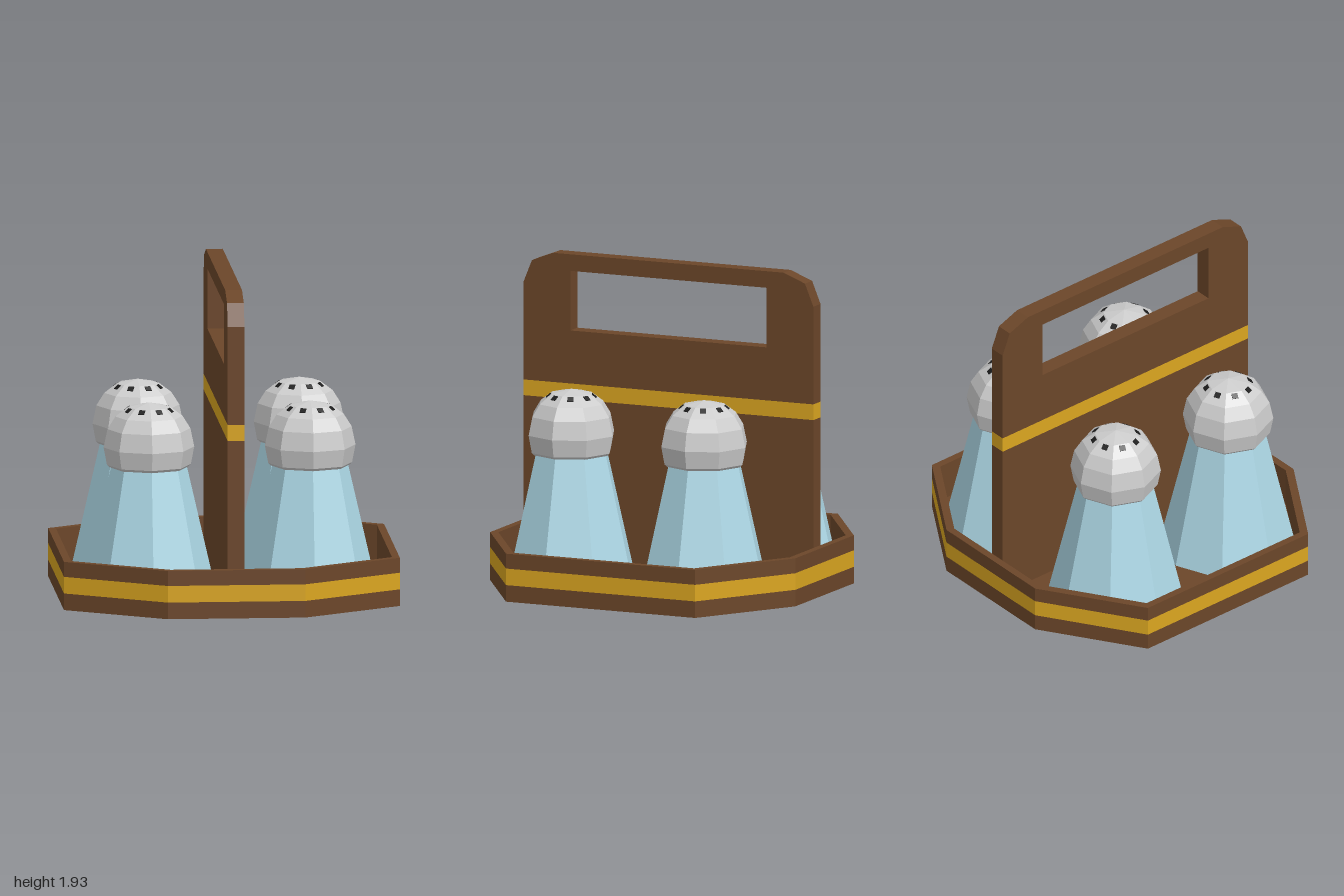
import * as THREE from 'three';

const material = (color) => new THREE.MeshStandardMaterial({ color, flatShading: true });
const v2 = (points) => points.map(([a, b]) => new THREE.Vector2(a, b));

export function createModel() {
  const group = new THREE.Group();
  const wood = material(0x6b4629);
  const gold = material(0xdaa520);
  const glass = material(0xadd8e6);
  const metal = new THREE.MeshStandardMaterial({ color: 0xcccccc, flatShading: true });
  const dark = material(0x1c1c1c);

  const add = (parent, name, geometry, mat) => {
    const mesh = new THREE.Mesh(geometry, mat);
    mesh.name = name;
    parent.add(mesh);
    return mesh;
  };

  // Eight-sided tray: outline scaled for the inner wall faces
  const corners = [[1, -0.62], [1, 0.62], [0.41, 1], [-0.41, 1],
    [-1, 0.62], [-1, -0.62], [-0.41, -1], [0.41, -1]];
  const outline = (s) => v2(corners.map(([x, z]) => [x * s, z * s]));
  const trayLayer = (name, y0, y1, outer, inner, mat) => {
    const shape = new THREE.Shape(outline(outer));
    if (inner) shape.holes.push(new THREE.Path(outline(inner)));
    const geometry = new THREE.ExtrudeGeometry(shape, { depth: y1 - y0, bevelEnabled: false });
    geometry.rotateX(-Math.PI / 2).translate(0, y0, 0);
    add(group, name, geometry, mat);
  };
  const floorY = 0.05;
  trayLayer('trayFloor', 0, floorY, 1, 0, wood);
  trayLayer('trayLowerWall', floorY, 0.1, 1, 0.955, wood);
  trayLayer('trayStripeLining', 0.1, 0.2, 0.98, 0.955, wood);
  trayLayer('trayStripe', 0.1, 0.2, 1, 0.98, gold);
  trayLayer('trayUpperWall', 0.2, 0.29, 1, 0.955, wood);

  // Central panel with a stripe and a grip opening
  const panel = (name, points, mat, opening) => {
    const shape = new THREE.Shape(v2(points));
    if (opening) shape.holes.push(new THREE.Path(v2(opening)));
    const geometry = new THREE.ExtrudeGeometry(shape, { depth: 0.1, bevelEnabled: false });
    geometry.rotateY(Math.PI / 2).translate(-0.05, 0, 0);
    add(group, name, geometry, mat);
  };
  const rect = (w, y0, y1) => [[-w, y0], [w, y0], [w, y1], [-w, y1]];
  panel('handleLowerPanel', rect(0.95, floorY, 1.06), wood);
  panel('handleStripe', rect(0.95, 1.06, 1.155), gold);
  panel('handleGrip', [[-0.95, 1.155], [0.95, 1.155], [0.95, 1.745], [0.895, 1.88], [0.755, 1.935],
    [-0.755, 1.935], [-0.895, 1.88], [-0.95, 1.745]], wood, rect(0.643, 1.475, 1.835));

  // Shakers: tapered body, domed cap and a ring of holes
  const bodyGeometry = new THREE.LatheGeometry(
    v2([[0, floorY], [0.405, floorY], [0.225, 0.83], [0, 0.83]]), 8);
  const capGeometry = new THREE.LatheGeometry(v2([[0, 0.825], [0.235, 0.825], [0.25, 0.84],
    [0.27, 0.945], [0.247, 1.055], [0.2, 1.13], [0.125, 1.187], [0, 1.213]]), 8);
  const holeGeometry = new THREE.BoxGeometry(0.036, 0.008, 0.034);
  holeGeometry.rotateX(Math.atan2(0.057, 0.069)).translate(0, 1.171, 0.135);

  for (const x of [-0.48, 0.48]) {
    for (const z of [-0.435, 0.435]) {
      const shaker = new THREE.Group();
      shaker.name = 'shaker';
      shaker.position.set(x, 0, z);
      add(shaker, 'shakerBody', bodyGeometry, glass);
      add(shaker, 'shakerCap', capGeometry, metal);
      for (let i = 0; i < 8; i++) {
        add(shaker, 'shakerHole', holeGeometry, dark).rotation.y = (i + 0.5) * Math.PI / 4;
      }
      group.add(shaker);
    }
  }
  return group;
}
